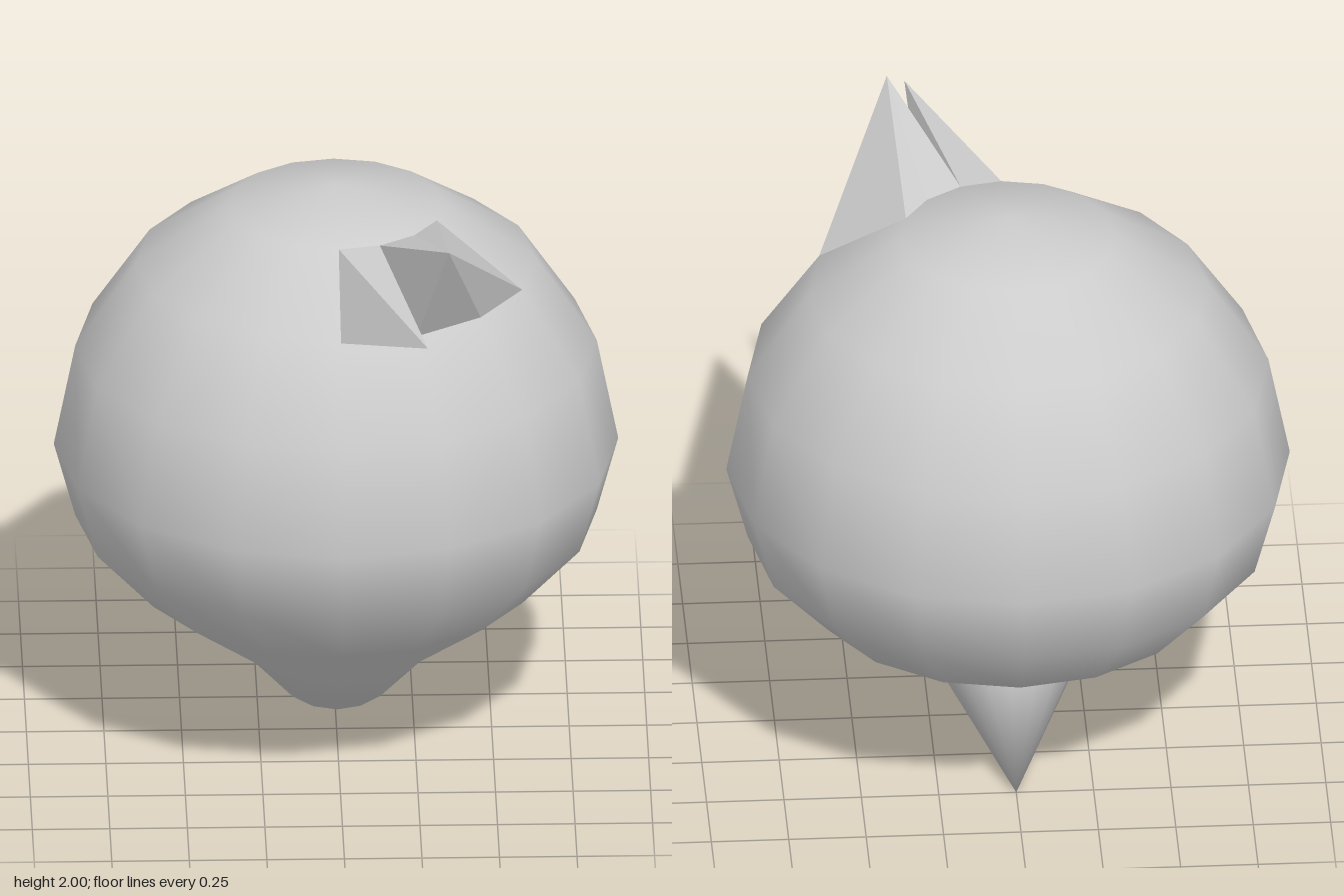
import * as THREE from 'three';

const SIDES = 16;
const R = 0.91;
const CENTRE = new THREE.Vector3(0, 0.99, -0.07);
const SQUASH = 0.73; // lower half is flatter than the upper half

// Point on the egg-shaped ball; ring 0 is the top pole, step 0 faces front and turns towards +x
function ballPoint(ring, step) {
  const polar = (ring * Math.PI) / 8;
  const a = (step * 2 * Math.PI) / SIDES;
  const h = Math.cos(polar);
  const r = R * Math.sin(polar);
  return new THREE.Vector3(r * Math.sin(a), R * h * (h < 0 ? SQUASH : 1), r * Math.cos(a)).add(CENTRE);
}

// Tilted ring where the pointed tail begins
function tailPoint(step) {
  const a = (step * 2 * Math.PI) / SIDES;
  return new THREE.Vector3(0.2 * Math.sin(a), 0.185 - 0.085 * Math.cos(a), -0.095 + 0.165 * Math.cos(a));
}

// Neck ring: runs straight into the tail at the front, stays on the ball at the back
function neckPoint(step) {
  const c = Math.cos((step * 2 * Math.PI) / SIDES);
  const p = ballPoint(7, step);
  if (c < 0) p.z -= 0.06 * c;
  const straight = ballPoint(6, step).lerp(tailPoint(step), 0.58);
  return p.lerp(straight, Math.max(0, c));
}

function createBody() {
  const points = [];
  for (let ring = 1; ring <= 8; ring++) {
    for (let s = 0; s < SIDES; s++) {
      points.push(ring < 7 ? ballPoint(ring, s) : ring === 7 ? neckPoint(s) : tailPoint(s));
    }
  }
  const top = points.push(ballPoint(0, 0)) - 1;
  const tip = points.push(new THREE.Vector3(0, 0, -0.5)) - 1;

  const index = [];
  for (let s = 0; s < SIDES; s++) {
    const n = (s + 1) % SIDES;
    index.push(top, s, n);
    for (let ring = 0; ring < 7; ring++) {
      const a = ring * SIDES;
      const b = a + SIDES;
      index.push(a + s, b + s, b + n, a + s, b + n, a + n);
    }
    index.push(7 * SIDES + s, tip, 7 * SIDES + n);
  }
  const geometry = new THREE.BufferGeometry().setFromPoints(points);
  geometry.setIndex(index);
  geometry.computeVertexNormals();
  return geometry;
}

// Sharp spike drawn out of the ball's upper faces between two steps
function createSpike(from, to, apex) {
  const base = [];
  for (let s = from; s <= to; s++) base.push(ballPoint(2, s));
  for (let s = to; s >= from; s--) base.push(ballPoint(1, s));
  const points = [];
  base.forEach((p, i) => points.push(p, base[(i + 1) % base.length], apex));
  const geometry = new THREE.BufferGeometry().setFromPoints(points);
  geometry.computeVertexNormals();
  return geometry;
}

export function createModel() {
  const group = new THREE.Group();
  const smooth = new THREE.MeshStandardMaterial({ color: 0xcccccc });
  const flat = new THREE.MeshStandardMaterial({ color: 0xcccccc, flatShading: true, side: THREE.DoubleSide });
  const add = (name, geometry, material) => {
    const mesh = new THREE.Mesh(geometry, material);
    mesh.name = name;
    group.add(mesh);
  };

  add('bodyWithTail', createBody(), smooth);
  add('frontSpike', createSpike(0, 1, new THREE.Vector3(0.27, 1.8, 0.98)), flat);
  add('upperSpike', createSpike(1, 3, new THREE.Vector3(0.345, 2, 0.68)), flat);
  return group;
}
